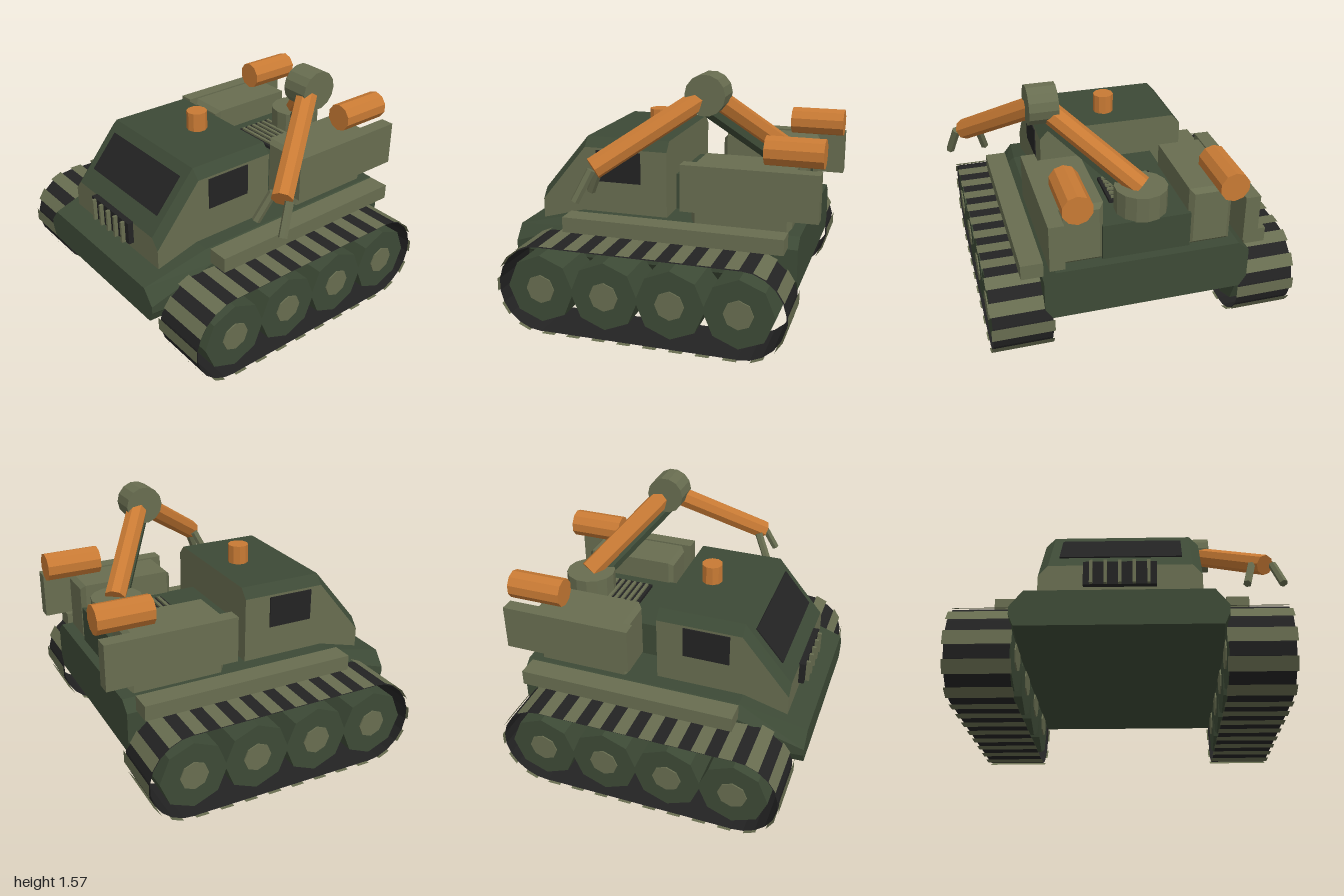
import * as THREE from 'three';
import { mergeGeometries } from 'three/addons/utils/BufferGeometryUtils.js';

const CX = -0.04; // centre line of the vehicle body

function material(name, color, extra = {}) {
  const m = new THREE.MeshStandardMaterial({ color, flatShading: true, ...extra });
  m.name = name;
  return m;
}

// Solid through a row of equal rings; bandMat picks a material per ring side, caps use capMat.
function loft(rings, bandMat = () => 0, capMat = 0) {
  const tris = [];
  const n = rings[0].length;
  for (let r = 0; r + 1 < rings.length; r++) {
    for (let i = 0; i < n; i++) {
      const j = (i + 1) % n, a = rings[r], b = rings[r + 1];
      tris.push([bandMat(i), a[i], a[j], b[j]], [bandMat(i), a[i], b[j], b[i]]);
    }
  }
  const first = rings[0], last = rings[rings.length - 1];
  for (let i = 1; i + 1 < n; i++) {
    tris.push([capMat, first[0], first[i + 1], first[i]], [capMat, last[0], last[i], last[i + 1]]);
  }
  // turn the faces outward if the solid came out inverted
  let volume = 0;
  const v = tris.map(([m, ...p]) => [m, ...p.map((q) => new THREE.Vector3(...q))]);
  for (const [, a, b, c] of v) volume += a.dot(b.clone().cross(c));
  v.sort((s, t) => s[0] - t[0]);
  const geo = new THREE.BufferGeometry();
  const points = v.flatMap(([, a, b, c]) => (volume < 0 ? [a, c, b] : [a, b, c]));
  geo.setFromPoints(points);
  v.forEach(([m], i) => {
    const g = geo.groups[geo.groups.length - 1];
    if (g && g.materialIndex === m) g.count += 3;
    else geo.addGroup(i * 3, 3, m);
  });
  geo.computeVertexNormals();
  return geo;
}

export function createModel() {
  const model = new THREE.Group();
  model.name = 'trackedVehicle';
  const olive = material('olive', 0x686d50);
  const green = material('darkGreen', 0x3d4a36);
  const orange = material('orange', 0xc87a34);
  const black = material('black', 0x232323);
  const oliveTread = material('oliveTread', 0x686d50, { side: THREE.DoubleSide });
  const blackBelt = material('blackBelt', 0x232323, { side: THREE.DoubleSide });

  function add(name, geo, mat, x = 0, y = 0, z = 0, parent = model) {
    const mesh = new THREE.Mesh(geo, mat);
    mesh.name = name;
    mesh.position.set(x, y, z);
    parent.add(mesh);
    return mesh;
  }
  // box from min/max ranges
  function box(name, mat, [x0, x1], [y0, y1], [z0, z1], parent = model) {
    return add(name, new THREE.BoxGeometry(x1 - x0, y1 - y0, z1 - z0), mat,
      (x0 + x1) / 2, (y0 + y1) / 2, (z0 + z1) / 2, parent);
  }
  // straight rod between two points
  function rod(name, mat, from, to, radius, sides) {
    const a = new THREE.Vector3(...from), b = new THREE.Vector3(...to);
    const dir = b.clone().sub(a);
    const mesh = add(name, new THREE.CylinderGeometry(radius, radius, dir.length(), sides), mat);
    mesh.position.copy(a).add(b).multiplyScalar(0.5);
    mesh.quaternion.setFromUnitVectors(new THREE.Vector3(0, 1, 0), dir.normalize());
    return mesh;
  }

  // Hull: chamfered section tapering at the nose
  const hullRing = (z, low, wide, top, y1, y2, y3) => {
    const half = [[low, 0.325], [wide, y1], [wide, y2], [top, y3]];
    return [...half, ...half.map(([x, y]) => [-x, y]).reverse()].map(([x, y]) => [CX + x, y, z]);
  };
  add('hull', loft([
    hullRing(-0.86, 0.59, 0.635, 0.565, 0.395, 0.59, 0.65),
    hullRing(0.55, 0.59, 0.635, 0.565, 0.395, 0.59, 0.65),
    hullRing(0.97, 0.57, 0.6, 0.525, 0.395, 0.44, 0.535),
  ]), green);

  // Cab: rings across the width, roof and windscreen slope green, the rest olive
  const cabRing = (x, profile) => profile.map(([z, y]) => [CX + x, y, z]);
  const side = [[0.83, 0.57], [0.83, 0.7], [0.53, 1.065], [-0.01, 1.065], [-0.01, 0.6]];
  const mid = [[0.83, 0.57], [0.83, 0.765], [0.53, 1.125], [-0.01, 1.125], [-0.01, 0.6]];
  add('cab', loft([cabRing(-0.47, side), cabRing(-0.415, mid), cabRing(0.415, mid), cabRing(0.47, side)],
    (i) => (i === 1 || i === 2 ? 1 : 0)), [olive, green]);

  // Windows
  const slope = Math.atan2(0.36, 0.3);
  const screen = add('windscreen', new THREE.BoxGeometry(0.72, 0.27, 0.009), black, CX, 0.964, 0.668);
  screen.rotation.x = slope - Math.PI / 2;
  for (const s of [-1, 1]) {
    add('sideWindow', new THREE.BoxGeometry(0.009, 0.2, 0.295), black, CX + s * 0.472, 0.95, 0.308);
  }

  // Front grille
  box('frontGrille', black, [CX - 0.21, CX + 0.21], [0.625, 0.77], [0.82, 0.865]);
  for (let i = -2; i <= 2; i++) {
    add('frontGrilleBar', new THREE.BoxGeometry(0.018, 0.143, 0.03), olive, CX + i * 0.082, 0.697, 0.875);
  }

  // Roof beacon
  add('beacon', new THREE.CylinderGeometry(0.066, 0.066, 0.125, 10), orange, CX, 1.183, 0.19);

  // Engine deck with slatted vent
  box('engineDeck', green, [CX - 0.27, CX + 0.27], [0.64, 0.88], [-0.8, 0]);
  box('deckVent', black, [CX - 0.168, CX + 0.168], [0.87, 0.9], [-0.57, -0.29]);
  for (let i = 0; i < 6; i++) {
    add('deckVentSlat', new THREE.BoxGeometry(0.3, 0.016, 0.02), olive, CX, 0.905, -0.54 + i * 0.044);
  }

  // Bevelled locker, extruded along z
  const b = 0.028;
  const lockerShape = new THREE.Shape([[-0.135, -0.2], [0.135, -0.2], [0.135, 0.185], [-0.135, 0.185]]
    .map(([x, y]) => new THREE.Vector2(x - Math.sign(x) * b, y - Math.sign(y) * b)));
  const lockerGeo = new THREE.ExtrudeGeometry(lockerShape, {
    depth: 0.62 - 2 * b, bevelEnabled: true, bevelThickness: b, bevelSize: b, bevelSegments: 1,
  });

  // Side equipment, mirrored
  for (const s of [-1, 1]) {
    const span = (p, q) => [CX + s * p, CX + s * q].sort((u, v) => u - v);
    box('fender', olive, span(0.625, 0.76), [0.595, 0.69], [-0.8, 0.565]);
    box('sidePannier', olive, span(0.53, 0.62), [0.752, 1.04], [-0.97, -0.14]);
    add('locker', lockerGeo, olive, CX + s * 0.395, 0.845, -0.8 + b);
    const tank = add('tank', new THREE.CylinderGeometry(0.09, 0.09, 0.35, 10), orange, CX + s * 0.455, 1.125, -0.797);
    tank.rotation.x = Math.PI / 2;
  }

  // Tracks
  const R = 0.282, zRear = -0.59, zFront = 0.635;
  const straight = zFront - zRear, arc = Math.PI * R, total = 2 * (straight + arc);
  // tilt and position around the belt loop, starting at the top rear
  function beltPoint(d, r) {
    const half = d >= total / 2 ? 1 : 0;
    const e = d - half * total / 2;
    const angle = (e > straight ? (e - straight) / R : 0) + half * Math.PI;
    const zc = half ? zFront - Math.min(e, straight) : zRear + Math.min(e, straight);
    return { angle, y: R + r * Math.cos(angle), z: zc + r * Math.sin(angle) };
  }
  function beltPlates(count, phase, length, width, r) {
    const plates = [];
    for (let i = 0; i < count; i++) {
      const p = beltPoint(((i + phase) / count) * total, r);
      plates.push(new THREE.PlaneGeometry(width, length)
        .rotateX(-Math.PI / 2 + p.angle).translate(0, p.y, p.z));
    }
    return mergeGeometries(plates);
  }
  const treadGeo = beltPlates(26, 0.25, 0.083, 0.38, R);
  const beltGeo = beltPlates(52, 0.5, 0.084, 0.362, R - 0.011);
  const wheelGeo = new THREE.CylinderGeometry(0.213, 0.213, 0.35, 8).rotateZ(Math.PI / 2);
  const hubGeo = new THREE.CylinderGeometry(0.09, 0.09, 0.366, 8).rotateZ(Math.PI / 2);
  for (const s of [-1, 1]) {
    const track = new THREE.Group();
    track.name = s > 0 ? 'leftTrack' : 'rightTrack';
    track.position.x = CX + s * 0.77;
    model.add(track);
    add('treads', treadGeo, oliveTread, 0, 0, 0, track);
    add('belt', beltGeo, blackBelt, 0, 0, 0, track);
    for (let i = 0; i < 4; i++) {
      const z = zRear + (i * straight) / 3;
      add('wheel', wheelGeo, green, 0, 0.287, z, track);
      add('wheelHub', hubGeo, olive, 0, 0.287, z, track);
    }
  }

  // Crane arm on its turntable
  add('turntable', new THREE.CylinderGeometry(0.16, 0.16, 0.16, 14), olive, CX, 0.955, -0.66);
  rod('upperArm', orange, [CX, 1.03, -0.67], [0.47, 1.45, -0.29], 0.068, 8);
  rod('armStrut', green, [0.0, 0.96, -0.62], [0.47, 1.36, -0.27], 0.042, 6);
  const elbow = add('elbow', new THREE.CylinderGeometry(0.122, 0.122, 0.175, 14), olive, 0.467, 1.452, -0.285);
  elbow.rotation.z = Math.PI / 2;
  rod('forearm', orange, [0.49, 1.425, -0.25], [0.875, 1.06, 0.28], 0.066, 8);
  rod('innerClaw', olive, [0.79, 1.065, 0.27], [0.745, 0.885, 0.355], 0.027, 6);
  rod('outerClaw', olive, [0.925, 1.065, 0.27], [0.973, 0.885, 0.355], 0.027, 6);

  return model;
}
